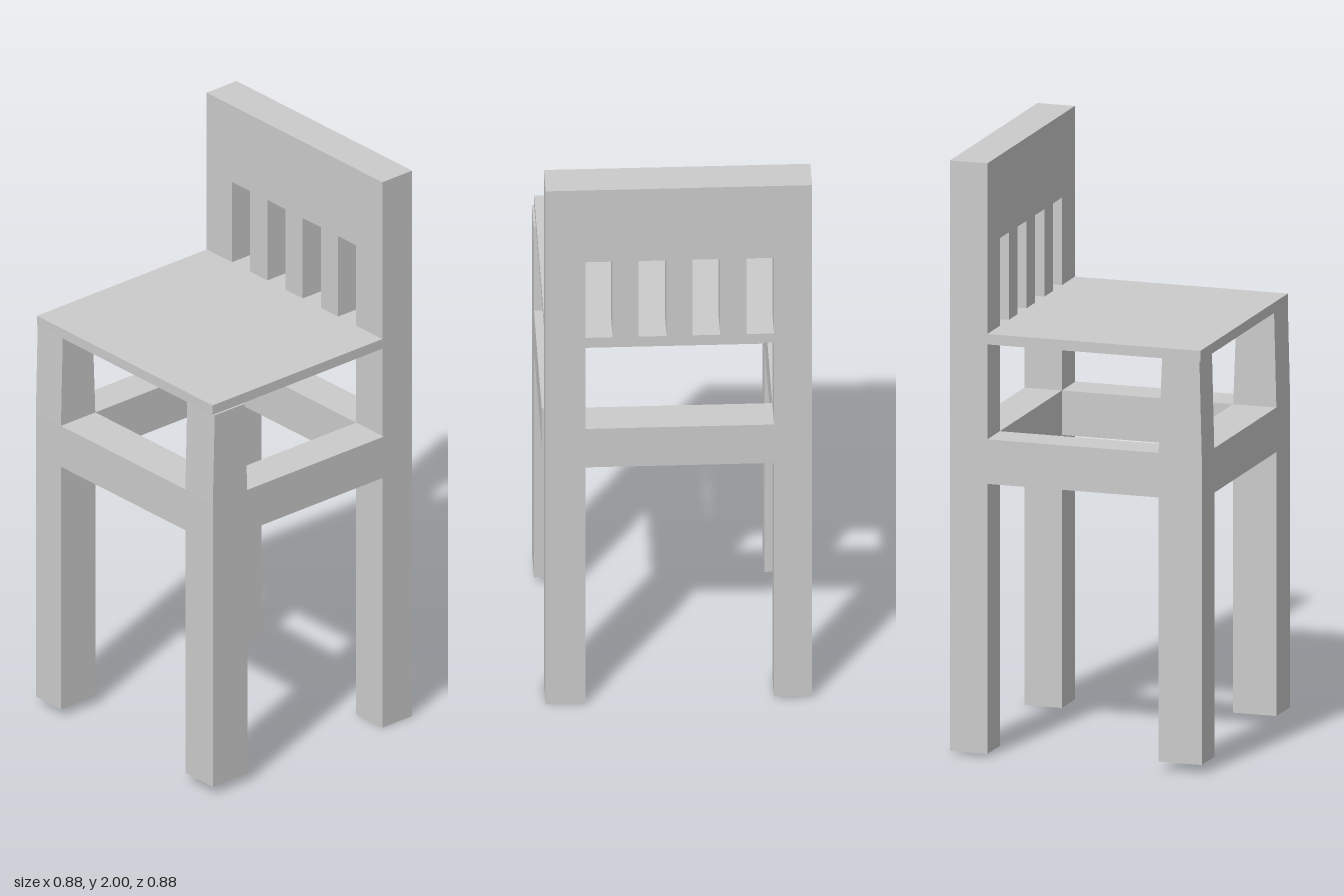
import * as THREE from 'three';

const material = new THREE.MeshStandardMaterial({ color: 0xcccccc, flatShading: true });

const toPoints = (list) => list.map(([x, y]) => new THREE.Vector2(x, y));
const rect = (u0, u1, y0, y1) => new THREE.Path(toPoints([[u0, y0], [u0, y1], [u1, y1], [u1, y0]]));

function addMesh(group, name, geometry) {
  const mesh = new THREE.Mesh(geometry, material);
  mesh.name = name;
  group.add(mesh);
}

function addBox(group, name, [x0, x1], [y0, y1], [z0, z1]) {
  const geometry = new THREE.BoxGeometry(x1 - x0, y1 - y0, z1 - z0);
  geometry.translate((x0 + x1) / 2, (y0 + y1) / 2, (z0 + z1) / 2);
  addMesh(group, name, geometry);
}

export function createModel() {
  const chair = new THREE.Group();
  chair.name = 'chair';
  const railY = [0.92, 1.07];
  const seatY = [1.39, 1.425];
  const backX = [0.305, 0.435];

  // Back frame: rear legs, lower rail, slats and top panel in one slab
  const back = new THREE.Shape(toPoints([
    [0.435, 0], [0.435, 2], [-0.44, 2], [-0.44, 0.01],
    [-0.315, 0.01], [-0.315, railY[0]], [0.305, railY[0]], [0.305, 0],
  ]));
  back.holes.push(rect(-0.315, 0.305, railY[1], seatY[0]));
  for (const [z0, z1] of [[-0.315, -0.225], [-0.138, -0.047], [0.038, 0.13], [0.215, 0.305]]) {
    back.holes.push(rect(z0, z1, seatY[1], 1.72));
  }
  const backGeometry = new THREE.ExtrudeGeometry(back, { depth: backX[1] - backX[0], bevelEnabled: false });
  backGeometry.rotateY(-Math.PI / 2).translate(backX[1], 0, 0);
  addMesh(chair, 'backFrame', backGeometry);

  // Side frames: front leg, narrowing above the rail, with its side rail
  const side = new THREE.Shape(toPoints([
    [-0.44, 0.03], [-0.29, 0.03], [-0.29, railY[0]], [backX[0], railY[0]],
    [backX[0], railY[1]], [-0.29, railY[1]], [-0.302, seatY[0]],
    [-0.432, seatY[0]], [-0.44, railY[1]],
  ]));
  for (const [name, z0, z1] of [['leftSideFrame', 0.305, 0.442], ['rightSideFrame', -0.44, -0.315]]) {
    const geometry = new THREE.ExtrudeGeometry(side, { depth: z1 - z0, bevelEnabled: false });
    addMesh(chair, name, geometry.translate(0, 0, z0));
  }

  // Rail between the front legs
  addBox(chair, 'frontRail', [-0.44, -0.29], railY, [-0.315, 0.305]);

  // Thin seat board
  addBox(chair, 'seat', [-0.435, backX[0]], seatY, [-0.44, 0.435]);

  return chair;
}
